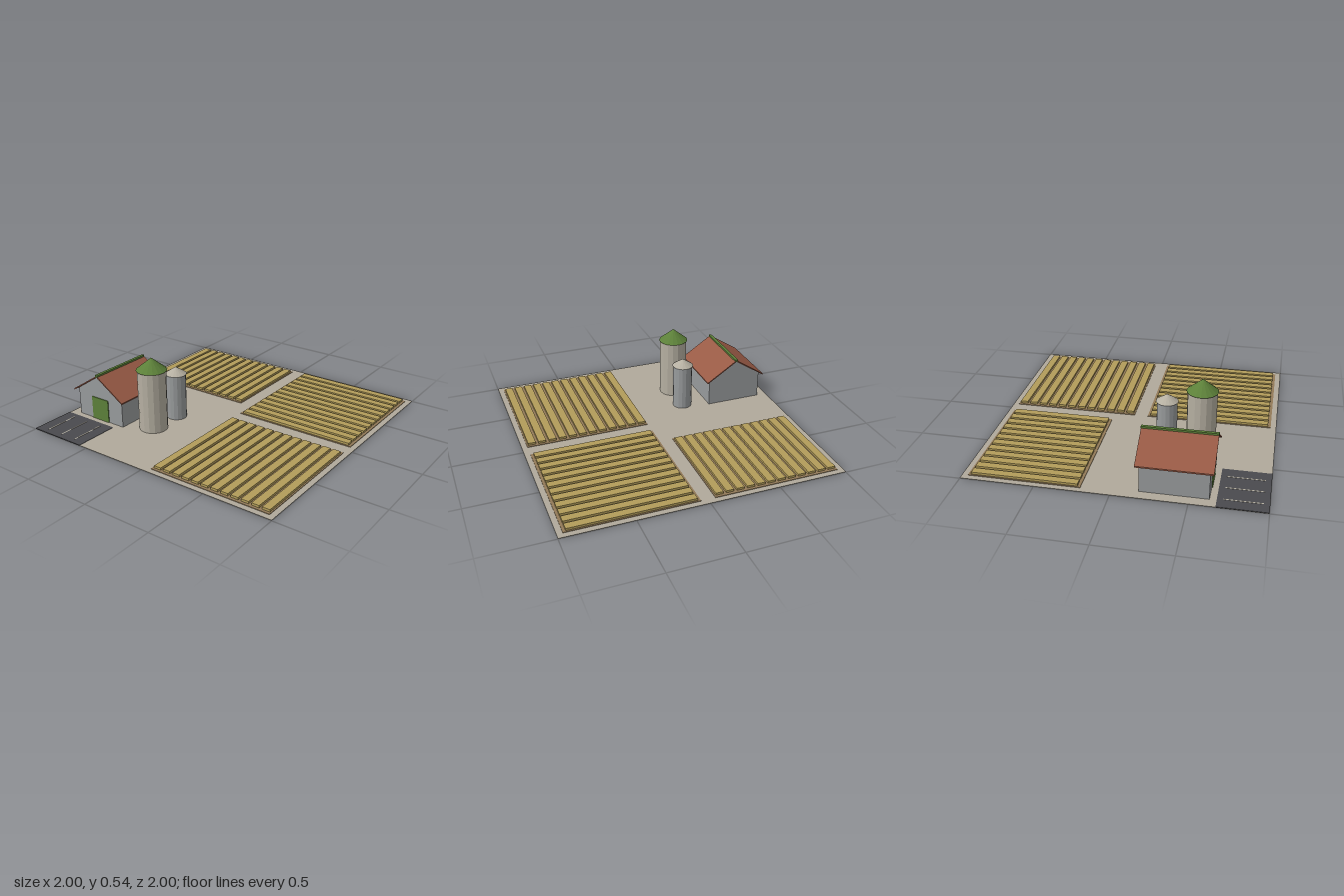
import * as THREE from 'three';

export function createModel() {
  const root = new THREE.Group();
  root.name = 'farm';

  const mat = (name, color, flatShading = false) => {
    const m = new THREE.MeshStandardMaterial({ color, flatShading });
    m.name = name;
    return m;
  };
  const gravel = mat('gravel', 0xb0a99b);
  const soil = mat('soil', 0x927a58);
  const crop = mat('crop', 0xb29c5a);
  const asphalt = mat('asphalt', 0x4a4a4e);
  const wall = mat('wallGrey', 0x989b9c, true);
  const roofRed = mat('roofRed', 0x985a45);
  const green = mat('green', 0x5c8039, true);
  const pale = mat('paleConcrete', 0xb5afa1, true);

  const add = (parent, name, geometry, material) => {
    const mesh = new THREE.Mesh(geometry, material);
    mesh.name = name;
    parent.add(mesh);
    return mesh;
  };
  // Box given by its limits on each axis
  const box = (parent, name, material, x0, x1, y0, y1, z0, z1) => {
    const mesh = add(parent, name, new THREE.BoxGeometry(x1 - x0, y1 - y0, z1 - z0), material);
    mesh.position.set((x0 + x1) / 2, (y0 + y1) / 2, (z0 + z1) / 2);
    return mesh;
  };
  const group = (name) => {
    const g = new THREE.Group();
    g.name = name;
    root.add(g);
    return g;
  };

  // Ground slab
  box(root, 'ground', gravel, -1, 1, 0.001, 0.004, -1, 1);

  // Fields: soil bed with twelve raised crop rows
  const field = (name, x0, x1, z0, z1, rowsAlongX) => {
    const g = group(name);
    const count = 12, half = 0.0275, inset = 0.02;
    box(g, 'soilBed', soil, x0, x1, 0.002, 0.008, z0, z1);
    const [a, b] = rowsAlongX ? [z0, z1] : [x0, x1];
    for (let i = 0; i < count; i++) {
      const c = a + (b - a) * (i + 0.5) / count;
      if (rowsAlongX) box(g, 'cropRow', crop, x0 + inset, x1 - inset, 0.006, 0.024, c - half, c + half);
      else box(g, 'cropRow', crop, c - half, c + half, 0.006, 0.024, z0 + inset, z1 - inset);
    }
  };
  field('backRightField', -0.96, -0.05, -0.96, -0.2, false);
  field('backLeftField', 0.05, 0.96, -0.96, -0.05, true);
  field('frontLeftField', 0.05, 0.96, 0.05, 0.96, false);

  // Parking area with painted bay lines
  const parking = group('parking');
  box(parking, 'pavement', asphalt, -1, -0.56, 0, 0.006, 0.67, 1);
  for (const x of [-0.91, -0.78, -0.65]) {
    box(parking, 'bayLine', pale, x - 0.004, x + 0.004, 0.005, 0.0075, 0.71, 0.96);
  }

  // Barn: gabled body, two roof slabs, ridge cap and door
  const barn = group('barn');
  barn.position.set(-0.715, 0, 0);
  const extrude = (points, depth) => new THREE.ExtrudeGeometry(
    new THREE.Shape(points.map(([x, y]) => new THREE.Vector2(x, y))),
    { depth, bevelEnabled: false });
  const body = extrude([[-0.21, 0.003], [0.21, 0.003], [0.21, 0.211], [0, 0.348], [-0.21, 0.211]], 0.45);
  add(barn, 'barnWalls', body, wall).position.z = 0.175;
  for (const s of [1, -1]) {
    const slab = [[0, 0.348], [s * 0.235, 0.195], [s * 0.235, 0.205], [0, 0.358]];
    add(barn, 'roofSlope', extrude(slab, 0.5), roofRed).position.z = 0.15;
  }
  box(barn, 'ridgeCap', green, -0.011, 0.011, 0.348, 0.364, 0.149, 0.651);
  box(barn, 'barnDoor', green, -0.078, 0.078, 0.003, 0.175, 0.622, 0.631);

  // Silos: faceted cylinder with a conical roof
  const silo = (name, x, z, radius, roofRadius, height, peak, bodyMat, roofMat) => {
    const g = group(name);
    g.position.set(x, 0, z);
    add(g, 'siloBody', new THREE.CylinderGeometry(radius, radius, height, 16), bodyMat)
      .position.y = height / 2 + 0.003;
    add(g, 'siloRoof', new THREE.ConeGeometry(roofRadius, peak - height, 16), roofMat)
      .position.y = (height + peak) / 2;
  };
  silo('largeSilo', -0.326, 0.494, 0.102, 0.11, 0.45, 0.54, pale, green);
  silo('smallSilo', -0.31, 0.252, 0.072, 0.079, 0.343, 0.396, wall, pale);

  return root;
}
